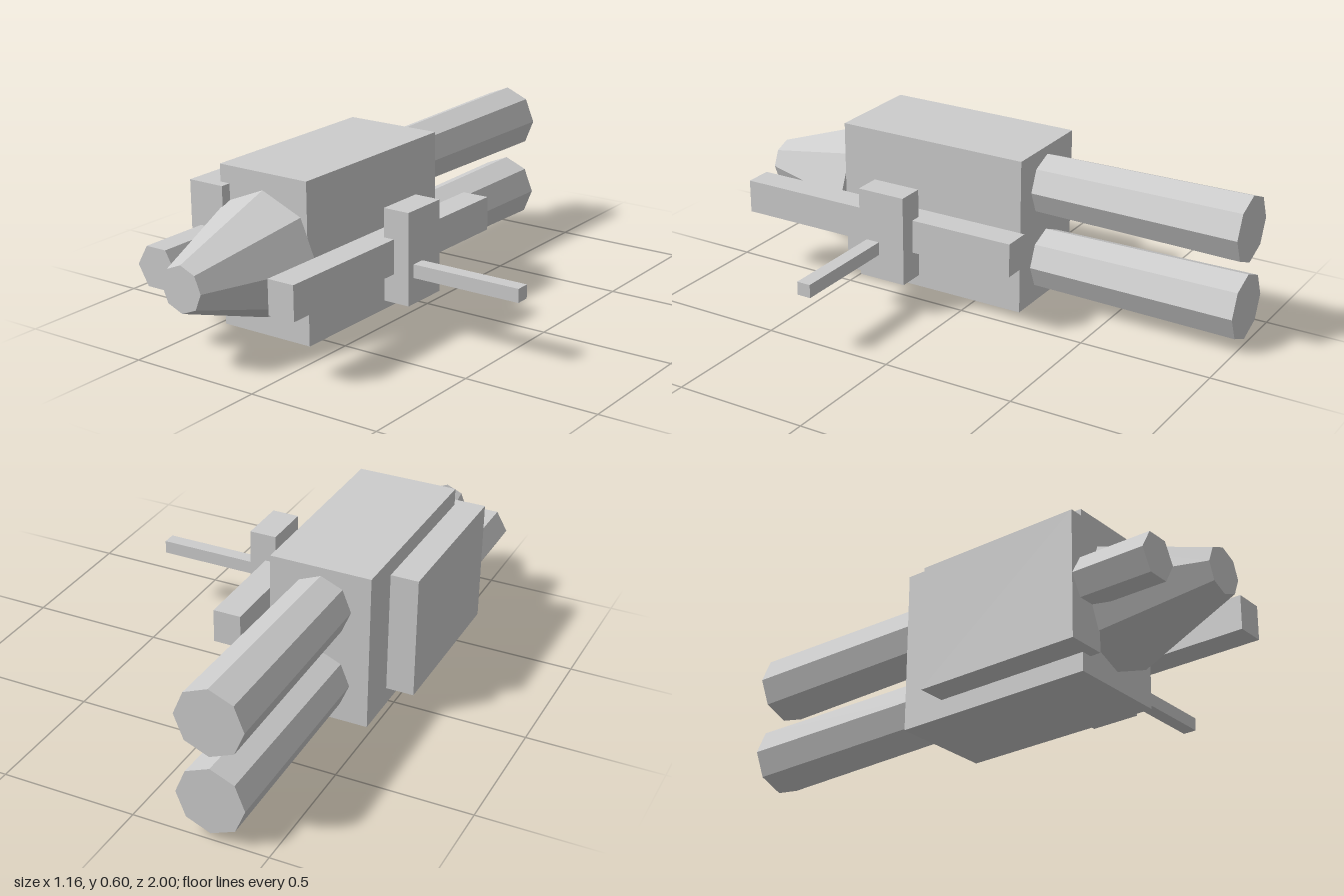
import * as THREE from 'three';

export function createModel() {
  const group = new THREE.Group();
  const grey = new THREE.MeshStandardMaterial({ color: 0xcccccc, flatShading: true });
  grey.name = 'plain grey';

  const add = (name, geometry) => {
    const mesh = new THREE.Mesh(geometry, grey);
    mesh.name = name;
    group.add(mesh);
    return mesh;
  };

  // Box given by its extents along each axis
  const box = (name, [x0, x1], [y0, y1], [z0, z1]) =>
    add(name, new THREE.BoxGeometry(x1 - x0, y1 - y0, z1 - z0))
      .position.set((x0 + x1) / 2, (y0 + y1) / 2, (z0 + z1) / 2);

  // Faceted tapered prism along z
  const prism = (name, x, y, [z0, z1], rBack, rFront, sides, turn = 0) =>
    add(name, new THREE.CylinderGeometry(rFront, rBack, z1 - z0, sides, 1, false, turn).rotateX(Math.PI / 2))
      .position.set(x, y, (z0 + z1) / 2);

  // Hull with its tapered nose
  box('hull', [-0.478, -0.097], [0, 0.596], [-0.191, 0.575]);
  prism('nose', -0.289, 0.299, [0.575, 1], 0.233, 0.085, 8);

  // Twin engines, flaring slightly towards the back
  for (const [name, y] of [['upperEngine', 0.448], ['lowerEngine', 0.15]]) {
    prism(name, -0.29, y, [-1, -0.191], 0.126, 0.116, 8);
  }

  // Side pod on the right with its hexagonal barrel
  box('sidePod', [-0.583, -0.437], [0.067, 0.531], [-0.024, 0.615]);
  prism('podBarrel', -0.499, 0.298, [0.615, 0.89], 0.084, 0.084, 6, Math.PI / 2);

  // Outrigger on the left: long beam, upright block and thin cross rod
  box('outriggerBeam', [-0.012, 0.094], [0.235, 0.362], [-0.256, 0.89]);
  box('outriggerBlock', [0.053, 0.156], [0.129, 0.469], [0.15, 0.339]);
  box('crossRod', [-0.055, 0.582], [0.225, 0.275], [0.256, 0.309]);

  return group;
}
